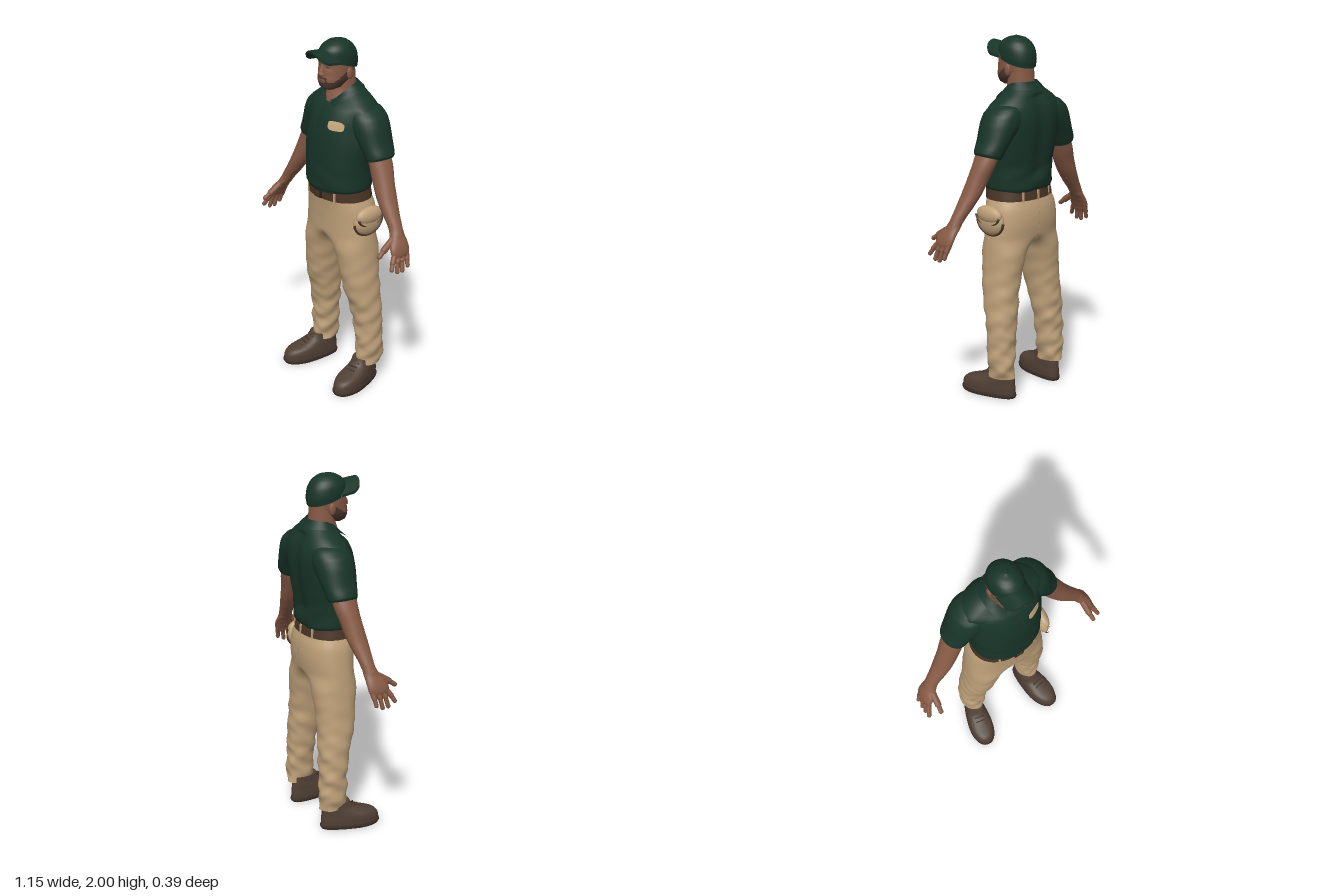
import * as THREE from 'three';

const mat = (name, color, side = THREE.FrontSide) => {
  const m = new THREE.MeshStandardMaterial({ color, side });
  m.name = name;
  return m;
};

// Smooth loft through horizontal slices [y, xMin, xMax, zMin, zMax], listed upward.
// tweak(p, u, v, slice) moves a vertex, where (u, v) is its place on the unit outline;
// pick(x, y, z) returns a material index per face.
function loft(rings, { seg = 32, steps = 4, power = 2.2, tweak, pick } = {}) {
  const rows = [];
  const at = (i) => rings[Math.min(rings.length - 1, Math.max(0, i))];
  for (let i = 0; i < rings.length - 1; i++)
    for (let s = 0; s < steps; s++) {
      const t = s / steps;
      rows.push(rings[i].map((b, k) => {
        const a = at(i - 1)[k], c = at(i + 1)[k], d = at(i + 2)[k];
        if (k === 0) return b + (c - b) * t;
        return b + 0.5 * t * (c - a + t * (2 * a - 5 * b + 4 * c - d + t * (3 * (b - c) + d - a)));
      }));
    }
  rows.push(at(rings.length - 1));
  const pos = [], faces = [[], []], p = new THREE.Vector3();
  const bend = (c) => Math.sign(c) * Math.abs(c) ** (2 / power);
  const addRow = (row) => {
    const [y, x0, x1, z0, z1] = row;
    for (let j = 0; j < seg; j++) {
      const t = (j / seg) * Math.PI * 2, u = bend(Math.cos(t)), v = bend(Math.sin(t));
      p.set((x0 + x1) / 2 + (x1 - x0) / 2 * u, y, (z0 + z1) / 2 + (z1 - z0) / 2 * v);
      if (tweak) tweak(p, u, v, row);
      pos.push(p.x, p.y, p.z);
    }
  };
  rows.forEach(addRow);
  for (let i = 0; i < rows.length - 1; i++)
    for (let j = 0; j < seg; j++) {
      const a = i * seg + j, b = i * seg + (j + 1) % seg, c = a + seg, d = b + seg;
      const mid = (k) => (pos[a * 3 + k] + pos[d * 3 + k]) / 2;
      faces[pick ? pick(mid(0), mid(1), mid(2)) : 0].push(a, c, b, b, c, d);
    }
  // flat end caps
  [rows[0], rows[rows.length - 1]].forEach((r, top) => {
    const first = pos.length / 3;
    addRow(r);
    p.set((r[1] + r[2]) / 2, r[0], (r[3] + r[4]) / 2);
    if (tweak) tweak(p, 0, 0, r);
    pos.push(p.x, p.y, p.z);
    for (let j = 0; j < seg; j++) {
      const a = first + j, b = first + (j + 1) % seg;
      faces[pick ? pick(p.x, p.y, p.z) : 0].push(first + seg, ...(top ? [b, a] : [a, b]));
    }
  });
  const g = new THREE.BufferGeometry();
  g.setAttribute('position', new THREE.Float32BufferAttribute(pos, 3));
  g.setIndex([...faces[0], ...faces[1]]);
  if (pick) {
    g.addGroup(0, faces[0].length, 0);
    g.addGroup(faces[0].length, faces[1].length, 1);
  }
  g.computeVertexNormals();
  return g;
}

const even = (rows) => rows.map(([y, w, z0, z1]) => [y, -w, w, z0, z1]);
const sided = (s, rows) => rows.map(([y, a, b, z0, z1]) => (s > 0 ? [y, a, b, z0, z1] : [y, -b, -a, z0, z1]));

function reshape(g, fn) {
  const a = g.attributes.position, p = new THREE.Vector3();
  for (let i = 0; i < a.count; i++) {
    fn(p.fromBufferAttribute(a, i));
    a.setXYZ(i, p.x, p.y, p.z);
  }
  g.computeVertexNormals();
  return g;
}

// Lays a flat detail onto the front of a mesh.
function drape(g, mesh, lift = 0.004) {
  const ray = new THREE.Raycaster();
  return reshape(g, (p) => {
    ray.set(new THREE.Vector3(p.x, p.y, 1), new THREE.Vector3(0, 0, -1));
    const hit = ray.intersectObject(mesh)[0];
    p.z = (hit ? hit.point.z : p.z) + lift;
  });
}

export function createModel() {
  const green = mat('green cloth', 0x183429), collarGreen = mat('collar green', 0x173228, THREE.DoubleSide);
  const skin = mat('skin', 0x875a45), beard = mat('beard', 0x4e382f), tan = mat('tan trousers', 0xbea079);
  const leather = mat('belt leather', 0x4b3527), boot = mat('boot brown', 0x504035), sole = mat('dark sole', 0x3e3129);
  const badge = mat('badge tan', 0xc6a87c), dark = mat('dark detail', 0x2a211d);
  const model = new THREE.Group();
  const part = (name, g, m, parent = model) => {
    const mesh = new THREE.Mesh(g, m);
    mesh.name = name;
    parent.add(mesh);
    return mesh;
  };
  const rod = (name, a, b, r, m, parent) => {
    const va = new THREE.Vector3(...a), d = new THREE.Vector3(...b).sub(va);
    const mesh = part(name, new THREE.CapsuleGeometry(r, d.length(), 4, 10), m, parent);
    mesh.position.copy(va).addScaledVector(d, 0.5);
    mesh.quaternion.setFromUnitVectors(new THREE.Vector3(0, 1, 0), d.normalize());
  };
  const blob = (name, c, r, m) => {
    const mesh = part(name, new THREE.SphereGeometry(1, 24, 16), m);
    mesh.position.set(...c);
    mesh.scale.set(...r);
  };

  // shirt: chest falls away to the sides, shallow groove along the spine
  const shirt = part('shirt', loft(even([
    [1.175, 0.188, -0.162, 0.132], [1.2, 0.199, -0.172, 0.142], [1.3, 0.2, -0.173, 0.142], [1.4, 0.212, -0.187, 0.14],
    [1.5, 0.226, -0.199, 0.135], [1.58, 0.236, -0.202, 0.118], [1.64, 0.225, -0.19, 0.088], [1.685, 0.172, -0.168, 0.042],
    [1.725, 0.112, -0.145, 0.015], [1.755, 0.075, -0.12, 0]]), {
    seg: 64,
    tweak: (p, u) => {
      const mid = Math.exp(-((p.x / 0.045) ** 2));
      if (p.z < -0.1 && p.y > 1.25 && p.y < 1.7) p.z += 0.016 * mid;
      const chest = Math.exp(-(((p.y - 1.57) / 0.13) ** 2));
      if (p.z > 0) p.z -= chest * (0.05 * u * u * Math.min(1, p.z / 0.06) + 0.004 * mid);
      if (p.y < 1.35) p.z += 0.0025 * Math.sin(p.y * 60 + p.x * 25);
    },
  }), green);

  // collar: a folded band, open at the throat
  const collar = new THREE.PlaneGeometry(2, 1, 48, 3);
  part('collar', reshape(collar, (p) => {
    const v = 0.5 - p.y, t = p.x * (Math.PI - 0.1 - 0.5 * v), c = -Math.cos(t);
    const f = ((1 + c) / 2) ** 3;
    const rz = c > 0 ? 0.09 + 0.065 * v : 0.075 + 0.038 * v;
    p.set((0.084 + 0.036 * v) * Math.sin(t), 1.766 - 0.085 * f - v * (0.038 + 0.012 * f), -0.042 + rz * c);
  }), collarGreen);
  const placket = new THREE.PlaneGeometry(0.034, 0.13, 4, 8).translate(0, 1.595, 0);
  part('placket', drape(placket, shirt, 0.005), collarGreen);
  [1.63, 1.585, 1.545].forEach((y) => part('button', drape(new THREE.CircleGeometry(0.004, 10).translate(0, y, 0), shirt, 0.008), dark));
  const patch = reshape(new THREE.RingGeometry(0.001, 1, 32, 4), (p) => {
    const r = Math.hypot(p.x, p.y), q = (c) => Math.sign(c) * Math.abs(c / r) ** 0.6 * r;
    p.set(0.109 + 0.043 * q(p.x), 1.562 + 0.025 * q(p.y) - 0.004 * p.x, 0);
  });
  part('chestPatch', drape(patch, shirt), badge);

  // neck and head; the beard is the jaw faces of the head
  part('neck', loft(even([[1.64, 0.07, -0.1, 0.065], [1.69, 0.076, -0.11, 0.053], [1.74, 0.074, -0.106, 0.035], [1.84, 0.07, -0.1, 0.03]])), skin);
  const head = part('head', loft(even([
    [1.736, 0.03, 0.025, 0.08], [1.75, 0.056, -0.02, 0.1], [1.785, 0.076, -0.06, 0.108], [1.82, 0.083, -0.085, 0.104],
    [1.87, 0.086, -0.1, 0.1], [1.91, 0.086, -0.105, 0.098], [1.95, 0.07, -0.09, 0.07]]), {
    seg: 120, steps: 14,
    tweak: (p) => { // eye sockets
      if (p.z > 0.05) p.z -= 0.007 * Math.exp(-(((p.y - 1.865) / 0.014) ** 2) - (((Math.abs(p.x) - 0.034) / 0.018) ** 2));
    },
    pick: (x, y, z) => {
      const w = Math.abs(x), rise = Math.min(1, Math.max(0, (0.075 - z) / 0.07));
      if (w < 0.026 && y > 1.78 && y < 1.798 && z > 0) return 0;
      const cheek = y < 1.785 + 0.05 * rise && z > -0.018 - (1.8 - y) * 0.3;
      const lip = y < 1.808 && w < 0.036 && z > 0.05;
      return cheek || lip ? 1 : 0;
    },
  }), [skin, beard]);
  part('nose', loft(even([[1.812, 0.012, 0.08, 0.112], [1.82, 0.02, 0.08, 0.122], [1.835, 0.014, 0.08, 0.121], [1.875, 0.009, 0.08, 0.104]]), { seg: 16 }), skin);
  for (const s of [1, -1]) {
    blob('ear', [s * 0.087, 1.825, -0.018], [0.01, 0.032, 0.02], skin);
    const oval = (name, w, h, y) => part(name, drape(new THREE.CircleGeometry(1, 16).scale(w, h, 1).translate(s * 0.035, y, 0), head, 0.003), beard);
    oval('eye', 0.012, 0.0035, 1.863);
    oval('eyebrow', 0.018, 0.0035, 1.882);
  }
  part('mouth', drape(new THREE.PlaneGeometry(0.046, 0.003, 8, 1).translate(0, 1.79, 0), head, 0.003), beard);

  // cap, lower at the back, with a curved brim running out of its front
  part('cap', loft(even([
    [1.868, 0.089, -0.114, 0.1], [1.9, 0.091, -0.12, 0.101], [1.94, 0.086, -0.112, 0.095], [1.97, 0.07, -0.089, 0.074],
    [1.99, 0.044, -0.055, 0.045], [2, 0.008, -0.015, 0.008]]), { seg: 48, power: 2.05, tweak: (p) => { p.y += p.z * 2.3 * (2 - p.y); } }), green);
  part('capBrim', reshape(new THREE.BoxGeometry(2, 1, 1, 24, 1, 8), (p) => {
    const u = p.x, v = p.z + 0.5;
    const z0 = 0.08 * Math.sqrt(1 - 0.75 * u * u), z1 = 0.175 - 0.012 * u * u - 0.045 * u ** 6;
    p.set(u * (0.086 - 0.006 * v), 1.948 + 0.008 * v - 0.06 * u * u + p.y * 0.014, z0 + (z1 - z0) * v);
  }), green);
  blob('capButton', [0, 1.996, -0.003], [0.008, 0.004, 0.008], green);

  // sleeves, arms and hands
  for (const s of [1, -1]) {
    part('sleeve', loft(sided(s, [
      [1.388, 0.222, 0.34, -0.142, 0.012], [1.405, 0.21, 0.345, -0.15, 0.017], [1.48, 0.15, 0.319, -0.166, 0.03], [1.56, 0.075, 0.295, -0.178, 0.042],
      [1.61, 0.065, 0.27, -0.174, 0.036], [1.645, 0.07, 0.23, -0.158, 0.015], [1.668, 0.1, 0.185, -0.125, -0.015]]), {
      power: 2.1,
      tweak: (p) => { p.y += (Math.abs(p.x) - 0.28) * 0.3 * Math.max(0, Math.min(1, (1.47 - p.y) / 0.07)); },
    }), green);
    part('arm', loft(sided(s, [
      [1.0, 0.482, 0.534, -0.05, 0.045], [1.03, 0.458, 0.522, -0.052, 0.035], [1.07, 0.425, 0.503, -0.055, 0.02], [1.13, 0.372, 0.468, -0.07, 0.02],
      [1.2, 0.32, 0.428, -0.09, 0.02], [1.28, 0.272, 0.393, -0.104, 0.012], [1.36, 0.238, 0.358, -0.124, 0.008], [1.44, 0.21, 0.32, -0.13, 0.01]]), { power: 2 }), skin);
    const hand = new THREE.Group();
    hand.name = s > 0 ? 'leftHand' : 'rightHand';
    model.add(hand);
    part('palm', loft(sided(s, [
      [0.935, 0.525, 0.555, -0.04, 0.06], [0.96, 0.512, 0.556, -0.052, 0.068], [1.0, 0.488, 0.542, -0.055, 0.06], [1.05, 0.444, 0.512, -0.053, 0.025]])), skin, hand);
    [[0.05, 0.09, 0.89], [0.022, 0.05, 0.868], [-0.008, 0.016, 0.866], [-0.034, -0.022, 0.885]].forEach(([z0, z1, y]) => {
      const knuckle = [s * 0.55, 0.92, z0 + (z1 - z0) * 0.6];
      rod('finger', [s * 0.535, 0.955, z0], knuckle, 0.0145, skin, hand);
      rod('fingertip', knuckle, [s * 0.561, y, z1], 0.012, skin, hand);
    });
    rod('thumb', [s * 0.492, 1.02, 0.03], [s * 0.497, 0.98, 0.09], 0.018, skin, hand);
    rod('thumbTip', [s * 0.497, 0.98, 0.09], [s * 0.502, 0.955, 0.125], 0.013, skin, hand);
  }

  // trousers: each leg widens at the top into half of the hips
  for (const s of [1, -1])
    part('trouserLeg', loft(sided(s, [
      [0.125, 0.138, 0.252, -0.153, 0], [0.2, 0.128, 0.266, -0.155, 0.002], [0.3, 0.118, 0.268, -0.151, 0.004], [0.4, 0.105, 0.268, -0.15, 0.013],
      [0.5, 0.09, 0.264, -0.15, 0.033], [0.6, 0.075, 0.256, -0.147, 0.062], [0.7, 0.055, 0.247, -0.15, 0.076], [0.8, 0.028, 0.24, -0.158, 0.088],
      [0.9, 0.002, 0.234, -0.168, 0.103], [1.0, 0, 0.225, -0.18, 0.107], [1.08, 0, 0.214, -0.176, 0.112], [1.16, 0, 0.188, -0.156, 0.121]]), {
      seg: 64, steps: 8,
      tweak: (p, u, v, [y, x0, x1, z0, z1]) => {
        const h = (u * s + 1) / 2, w = THREE.MathUtils.smoothstep(y, 0.82, 0.93);
        const hipZ = (z0 + z1) / 2 + (z1 - z0) / 2 * Math.sign(v) * (1 - h ** 2.3) ** (1 / 2.3);
        p.z += (hipZ - p.z) * w;
        // cloth folds, stronger toward the ankle
        const k = 0.004 * Math.max(0, Math.min(1, (0.9 - y) / 0.6));
        p.z += k * (Math.sin(y * 47 + u * s * 2.5) + 0.6 * Math.sin(y * 83 - u * s * 4));
        p.x += k * (Math.sin(y * 58 + v * 3) + 0.5 * Math.sin(y * 31 - v * 2));
      },
    }), tan);

  // belt with loops and buckle
  part('belt', loft(even([[1.13, 0.2, -0.168, 0.127], [1.185, 0.193, -0.162, 0.131]]), { seg: 48 }), leather);
  part('buckle', new THREE.BoxGeometry(0.055, 0.046, 0.008).translate(0, 1.157, 0.132), dark);
  part('bucklePlate', new THREE.BoxGeometry(0.036, 0.028, 0.006).translate(0, 1.157, 0.136), leather);
  for (const [x, z] of [[0.11, 0.108], [-0.11, 0.108], [0.1, -0.148], [-0.1, -0.148], [0, -0.166]])
    part('beltLoop', new THREE.BoxGeometry(0.012, 0.055, 0.01).rotateY(Math.sign(x * z) * 0.25).translate(x, 1.152, z), tan);

  // half-moon pouch on the left hip, flap and rim edged in leather
  blob('pouch', [0.228, 1.025, -0.03], [0.037, 0.08, 0.097], tan);
  blob('pouchFlap', [0.238, 1.06, -0.03], [0.036, 0.05, 0.09], tan);
  [[0.232, 1.025, 0.08, 0.097], [0.254, 1.055, 0.05, 0.084]].forEach(([x, y, h, d]) =>
    part('pouchTrim', reshape(new THREE.TorusGeometry(1, 0.08, 8, 40, Math.PI), (p) => {
      p.set(x + p.z * 0.09, y - p.y * h, -0.03 + p.x * d);
    }), leather));

  // boots, toes turned out
  for (const s of [1, -1]) {
    const shoe = new THREE.Group();
    shoe.name = s > 0 ? 'leftBoot' : 'rightBoot';
    shoe.position.set(s * 0.202 - 0.012, 0, 0);
    shoe.rotation.y = s * 0.2;
    model.add(shoe);
    const tweak = (p) => { p.x *= 0.94 + 0.13 * Math.sin(Math.min(1, Math.max(-1, p.z / 0.12)) * 1.57); };
    part('sole', loft(even([[0, 0.069, -0.146, 0.19], [0.012, 0.072, -0.152, 0.197], [0.024, 0.071, -0.15, 0.195]]), { tweak, power: 2.4 }), sole, shoe);
    part('bootUpper', loft(even([
      [0.022, 0.068, -0.147, 0.192], [0.055, 0.07, -0.147, 0.188], [0.08, 0.068, -0.144, 0.165], [0.1, 0.065, -0.142, 0.105],
      [0.125, 0.061, -0.138, 0.045], [0.16, 0.06, -0.134, 0.018]]), { tweak, power: 2.3 }), boot, shoe);
    for (let i = 0; i < 4; i++) {
      const y = 0.103 + i * 0.013, z = 0.092 - i * 0.023;
      rod('lace', [-0.026, y - 0.006, z], [0.026, y - 0.002, z], 0.004, sole, shoe);
    }
  }
  return model;
}
